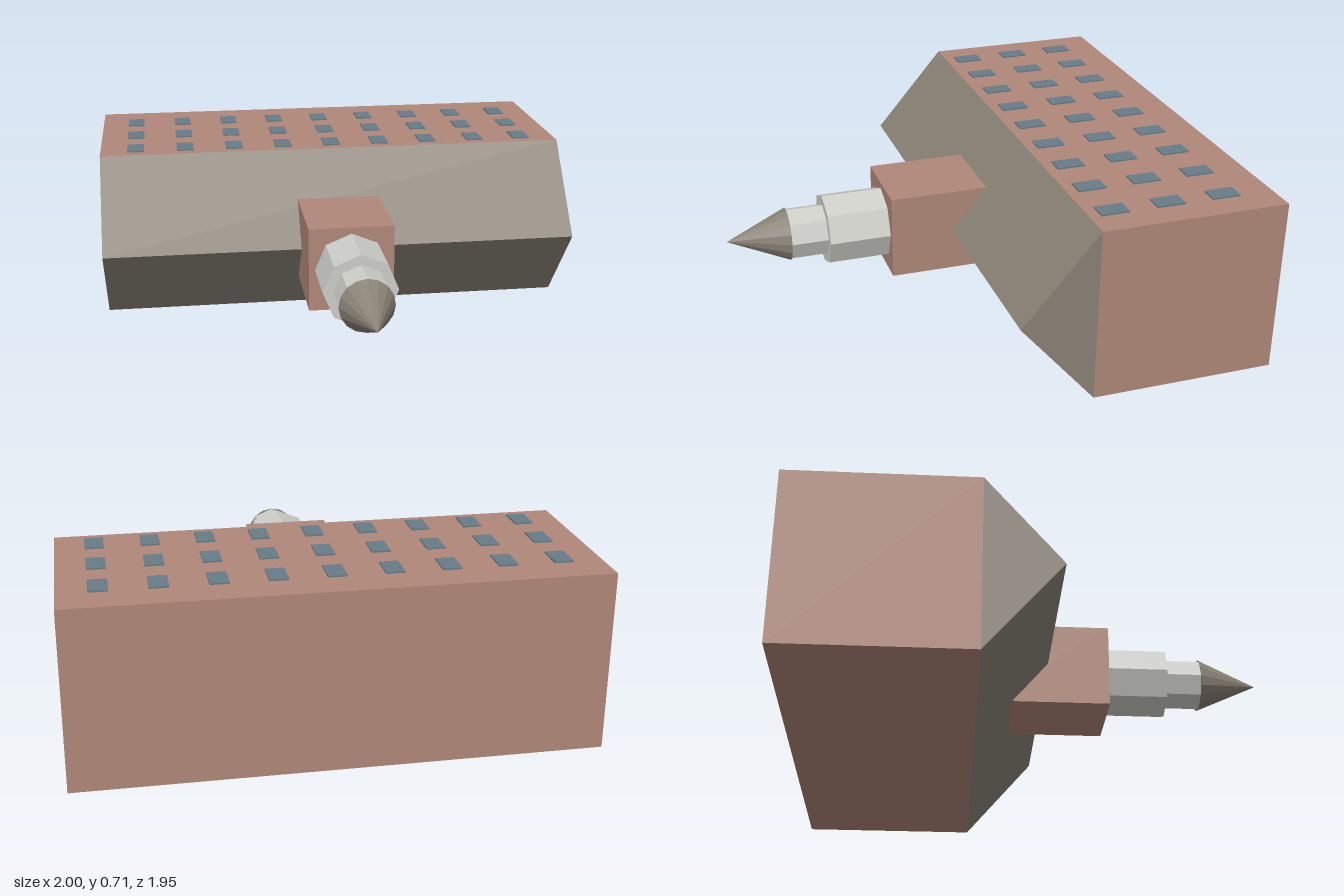
import * as THREE from 'three';

const material = (name, color, flatShading = false) => {
  const m = new THREE.MeshStandardMaterial({ color, flatShading });
  m.name = name;
  return m;
};

export function createModel() {
  const brick = material('brick', 0xb08879);
  const slate = material('slate', 0x8a8276, true);
  const stone = material('stone', 0xcdcdc8, true);
  const glass = material('glass', 0x667c87);

  const group = new THREE.Group();
  const add = (name, geometry, mat, x, y, z) => {
    const mesh = new THREE.Mesh(geometry, mat);
    mesh.name = name;
    mesh.position.set(x, y, z);
    group.add(mesh);
    return mesh;
  };
  const midY = 0.352;

  // Main block, lying with its roof towards +z
  add('mainBlock', new THREE.BoxGeometry(2, 0.704, 0.745), brick, 0, midY, -0.6025);

  // Gable roof: triangle in (z, y), extruded along x
  const gable = new THREE.Shape();
  gable.moveTo(-0.23, 0);
  gable.lineTo(0.07, midY);
  gable.lineTo(-0.23, 0.704);
  gable.closePath();
  const roof = new THREE.ExtrudeGeometry(gable, { depth: 2, bevelEnabled: false });
  roof.rotateY(-Math.PI / 2);
  add('gableRoof', roof, slate, 1, 0, 0);

  // Square tower base coming out of the roof
  add('towerBase', new THREE.BoxGeometry(0.348, 0.348, 0.52), brick, 0, midY, 0.065);

  // Tower stages and spire along z
  const stage = (name, rTop, rBottom, z0, z1, sides, mat) => {
    const g = new THREE.CylinderGeometry(rTop, rBottom, z1 - z0, sides);
    g.rotateX(Math.PI / 2);
    add(name, g, mat, 0, midY, (z0 + z1) / 2);
  };
  stage('lowerBelfry', 0.149, 0.149, 0.325, 0.575, 8, stone);
  stage('upperBelfry', 0.108, 0.108, 0.575, 0.725, 8, stone);
  stage('spire', 0, 0.109, 0.725, 0.975, 16, slate);

  // Three rows of nine windows
  const pane = new THREE.BoxGeometry(0.072, 0.009, 0.113);
  for (const z of [-0.78, -0.555, -0.33]) {
    for (let i = -4; i <= 4; i++) add('window', pane, glass, i * 0.2125, 0.7055, z);
  }
  return group;
}
